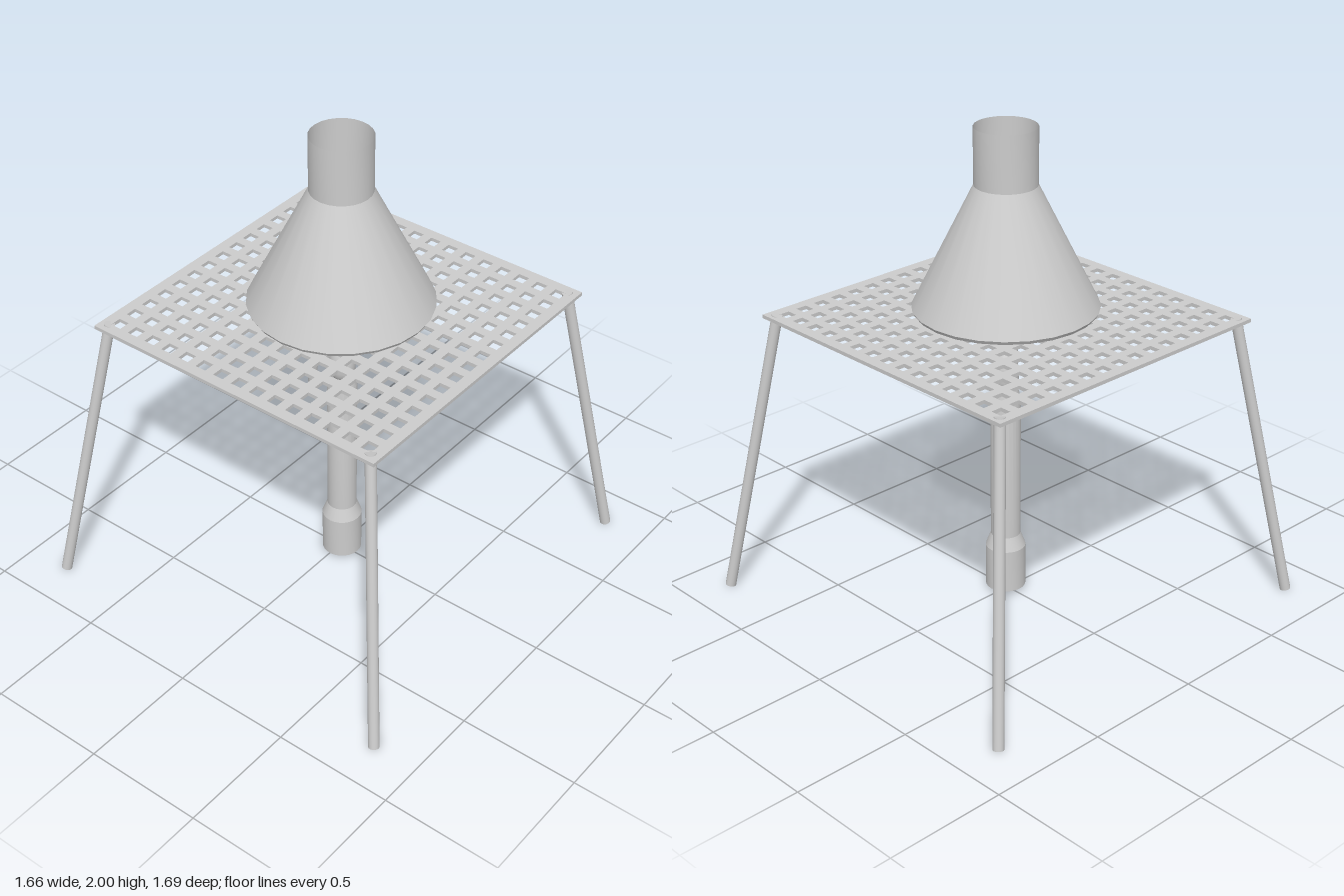
import * as THREE from 'three';
import { toCreasedNormals } from 'three/addons/utils/BufferGeometryUtils.js';

const grey = new THREE.MeshStandardMaterial({ color: 0xcccccc });
const greyOpen = new THREE.MeshStandardMaterial({ color: 0xcccccc, side: THREE.DoubleSide });

function part(name, geometry, material = grey) {
  const mesh = new THREE.Mesh(geometry, material);
  mesh.name = name;
  return mesh;
}

function lathe(profile, segments = 24) {
  const points = profile.map(([r, y]) => new THREE.Vector2(r, y));
  return toCreasedNormals(new THREE.LatheGeometry(points, segments), 0.34);
}

function squarePath(path, x, y, half) {
  path.moveTo(x - half, y - half);
  path.lineTo(x + half, y - half);
  path.lineTo(x + half, y + half);
  path.lineTo(x - half, y + half);
  path.closePath();
  return path;
}

// Thin square sheet with a 15 x 15 grid of square holes
function perforatedPlate() {
  const count = 15, pitch = 0.0865, holeHalf = 0.0235;
  const shape = squarePath(new THREE.Shape(), 0, 0, 0.675);
  for (let i = 0; i < count; i++) {
    for (let j = 0; j < count; j++) {
      const x = (i - (count - 1) / 2) * pitch;
      const y = (j - (count - 1) / 2) * pitch;
      shape.holes.push(squarePath(new THREE.Path(), x, y, holeHalf));
    }
  }
  const geometry = new THREE.ExtrudeGeometry(shape, { depth: 0.015, bevelEnabled: false });
  return geometry.rotateX(-Math.PI / 2);
}

// Round rod between two points
function rod(name, from, to, radius) {
  const axis = to.clone().sub(from);
  const mesh = part(name, new THREE.CylinderGeometry(radius, radius, axis.length(), 16));
  mesh.position.copy(from).addScaledVector(axis, 0.5);
  mesh.quaternion.setFromUnitVectors(new THREE.Vector3(0, 1, 0), axis.normalize());
  return mesh;
}

export function createModel() {
  const model = new THREE.Group();
  model.name = 'burnerStand';

  const plate = part('perforatedPlate', perforatedPlate());
  plate.position.set(0.003, 1.21, -0.004);
  model.add(plate);

  // Splayed legs, poking slightly through the plate corners
  for (const sx of [-1, 1]) {
    for (const sz of [-1, 1]) {
      const name = (sz > 0 ? 'front' : 'back') + (sx > 0 ? 'Left' : 'Right') + 'Leg';
      model.add(rod(name,
        new THREE.Vector3(sx * 0.81, 0.008, sz * 0.822),
        new THREE.Vector3(sx * 0.632, 1.226, sz * 0.635 - 0.007), 0.022));
    }
  }

  // Hood: closed base, flared cone and open chimney
  const hood = part('hood', lathe([
    [0, 1.262], [0.362, 1.262], [0.371, 1.277], [0.125, 1.77], [0.125, 2],
  ]), greyOpen);
  hood.position.set(0.004, 0, -0.004);
  model.add(hood);

  // Burner tube with a wide foot and a narrowed mouth
  const burner = new THREE.Group();
  burner.name = 'burner';
  burner.add(part('burnerTube', lathe([
    [0, 0.022], [0.082, 0.022], [0.082, 0.205], [0.061, 0.26],
    [0.061, 0.87], [0.049, 0.917], [0, 0.917],
  ])));

  // Bullet-shaped tip: short lower half, taller upper half
  const tip = [];
  for (let i = 0; i <= 16; i++) {
    const a = -1 + (i / 16) * (1 + Math.PI / 2);
    const height = a < 0 ? 0.075 : 0.115;
    tip.push([Math.max(0.054 * Math.cos(a), 0), 0.967 + height * Math.sin(a)]);
  }
  burner.add(part('burnerTip', lathe(tip)));
  burner.position.set(0.014, 0, 0.003);
  model.add(burner);

  return model;
}
